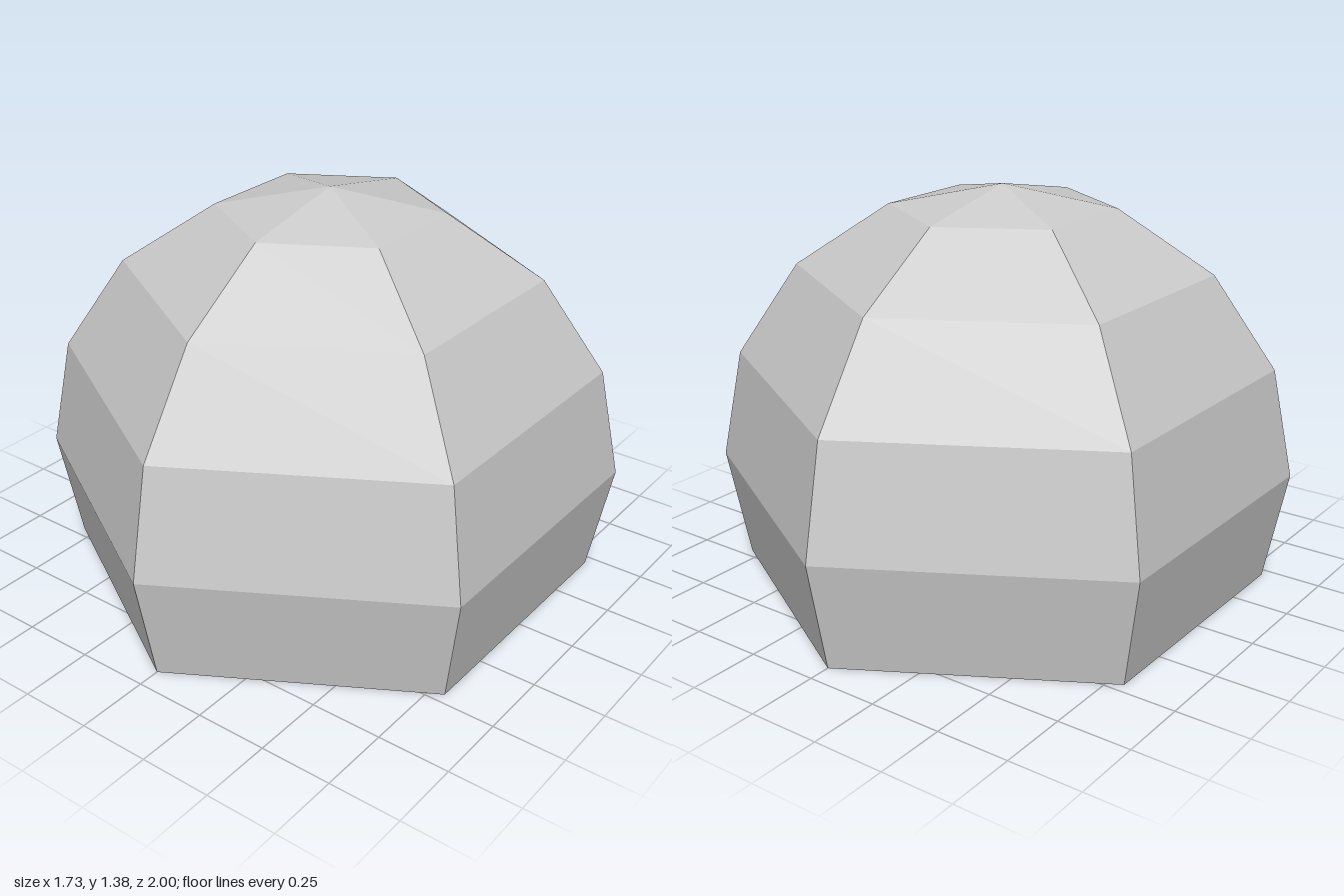
import * as THREE from 'three';

export function createModel() {
  const model = new THREE.Group();
  model.name = 'facetedDome';

  const grey = new THREE.MeshStandardMaterial({ color: 0xcccccc, flatShading: true });
  grey.name = 'light grey';

  // Profile from the base centre, out to the rim and up in 22.5 degree steps of a unit circle
  const step = Math.PI / 8;
  const centreY = Math.sin(step);
  const profile = [new THREE.Vector2(0, 0)];
  for (let i = -1; i <= 4; i++) {
    const radius = i === 4 ? 0 : Math.cos(i * step);
    profile.push(new THREE.Vector2(radius, centreY + Math.sin(i * step)));
  }

  // Six-sided closed dome with corners at the front and back
  const dome = new THREE.Mesh(new THREE.LatheGeometry(profile, 6), grey);
  dome.name = 'dome';
  model.add(dome);

  return model;
}
